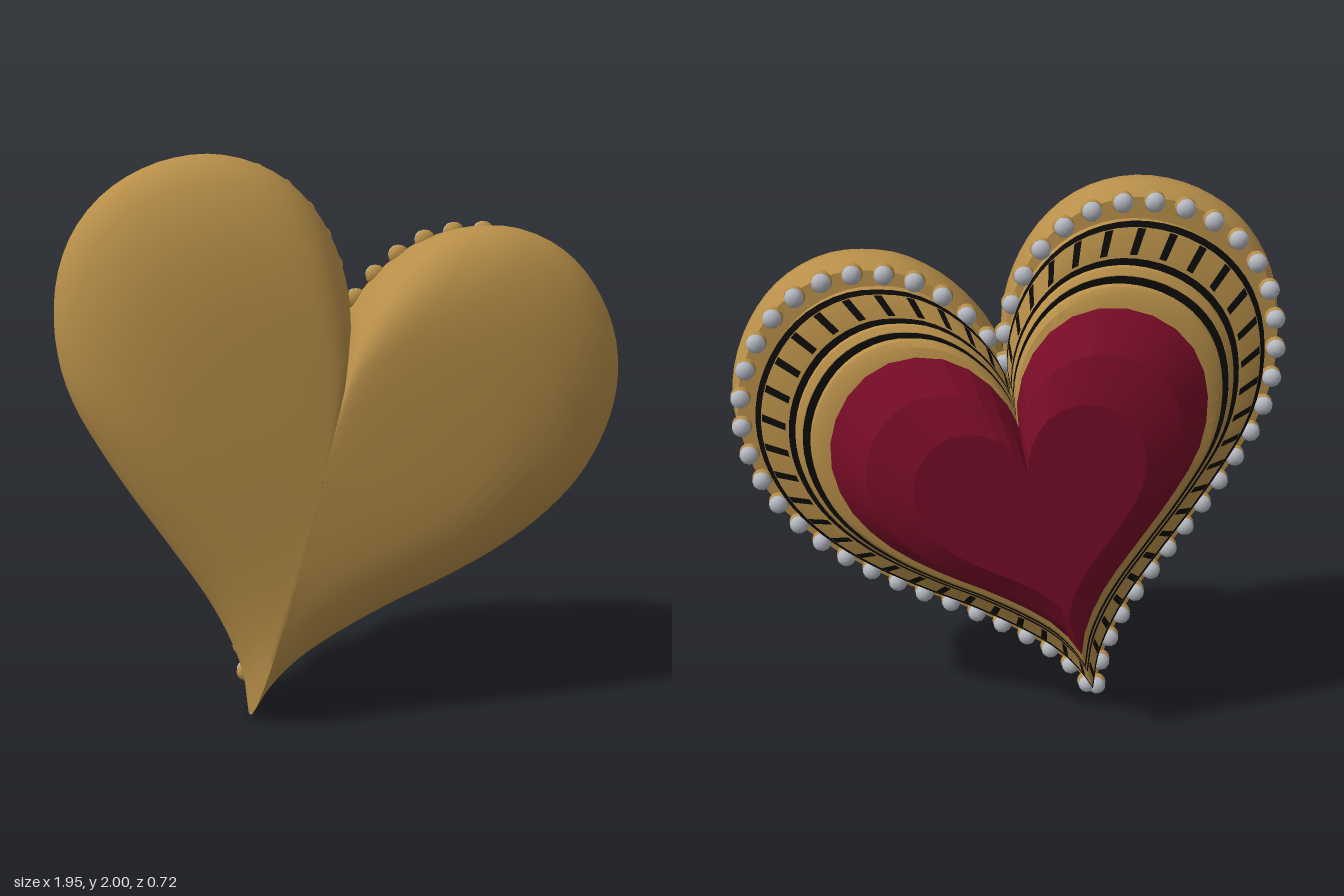
import * as THREE from 'three';
import { mergeGeometries, toCreasedNormals } from 'three/addons/utils/BufferGeometryUtils.js';

const mat = (name, color) => Object.assign(new THREE.MeshStandardMaterial({ color }), { name });

// Every ring of the brooch is the heart outline scaled about this centre
const CX = -0.11, CY = 0.93;

const curve = (pts) => new THREE.CatmullRomCurve3(pts.map(([x, y]) => new THREE.Vector3(x, y, 0)));

// Heart outline, counterclockwise: notch -> tall lobe -> tip, then tip -> short lobe -> notch
const tallSide = curve([[0, 1.36], [0.01, 1.5], [-0.02, 1.65], [-0.08, 1.78], [-0.15, 1.87], [-0.23, 1.935],
  [-0.33, 1.98], [-0.45, 2], [-0.58, 1.985], [-0.7, 1.94], [-0.81, 1.865], [-0.9, 1.755], [-0.955, 1.62],
  [-0.975, 1.46], [-0.96, 1.3], [-0.92, 1.17], [-0.85, 1.03], [-0.75, 0.86], [-0.62, 0.66], [-0.5, 0.47],
  [-0.43, 0.33], [-0.375, 0.17], [-0.355, 0]]);
const shortSide = curve([[-0.355, 0], [-0.29, 0.1], [-0.2, 0.195], [-0.08, 0.28], [0.15, 0.405], [0.35, 0.495],
  [0.55, 0.6], [0.72, 0.72], [0.86, 0.87], [0.945, 1.04], [0.975, 1.2], [0.96, 1.35], [0.905, 1.49],
  [0.82, 1.61], [0.72, 1.69], [0.6, 1.74], [0.49, 1.75], [0.37, 1.735], [0.25, 1.68], [0.15, 1.6],
  [0.08, 1.52], [0.025, 1.43], [0, 1.36]]);

const outline = (n) => [...tallSide.getSpacedPoints(n).slice(0, -1), ...shortSide.getSpacedPoints(n).slice(0, -1)];

// Sweep outline points through a [scale, z] profile listed from front to back
function loft(points, profile, closed = true) {
  const pos = [], index = [], n = points.length;
  for (const [s, z] of profile)
    for (const p of points) pos.push(CX + (p.x - CX) * s, CY + (p.y - CY) * s, z);
  for (let i = 0; i < profile.length - 1; i++)
    for (let j = 0; j < (closed ? n : n - 1); j++) {
      const k = (j + 1) % n, a = i * n + j, b = i * n + k, c = a + n, d = b + n;
      index.push(a, c, b, b, c, d);
    }
  const g = new THREE.BufferGeometry();
  g.setAttribute('position', new THREE.Float32BufferAttribute(pos, 3));
  g.setIndex(index);
  g.computeVertexNormals();
  return g;
}

export function createModel() {
  const gold = mat('gold', 0xb88f49);
  const ruby = mat('ruby red', 0x780c27);
  const silver = mat('stone grey', 0xb6bac2);
  const black = mat('black enamel', 0x0c0b0a);
  const group = new THREE.Group();
  const add = (name, geometry, material) => {
    const mesh = new THREE.Mesh(geometry, material);
    mesh.name = name;
    group.add(mesh);
  };
  const ring = outline(60);

  // Puffed front shell
  add('heartBody', toCreasedNormals(loft(ring, [
    [0.002, 0.36], [0.35, 0.357], [0.55, 0.349], [0.72, 0.335], [0.83, 0.3], [0.92, 0.26], [0.975, 0.21],
    [1, 0.16], [0.998, 0.11], [0.985, 0.06], [0.965, 0.02]]), 0.9), gold);

  // Stepped back setting
  add('backSetting', toCreasedNormals(loft(ring, [
    [0.965, 0.02], [0.965, -0.02], [0.9, -0.025], [0.9, -0.075], [0.885, -0.08], [0.79, -0.115],
    [0.775, -0.115], [0.77, -0.135], [0.75, -0.15], [0.735, -0.15], [0.725, -0.15], [0.72, -0.175],
    [0.7, -0.19], [0.65, -0.2]]), 0.5), gold);

  // Black enamel lines between the steps
  [[[0.903, -0.074], [0.885, -0.083]], [[0.795, -0.116], [0.772, -0.119]], [[0.748, -0.153], [0.722, -0.153]]]
    .forEach((profile, i) => add('enamelLine' + (i + 1), loft(ring, profile), black));

  // Black enamel dashes on the sloping band
  const path = new THREE.CurvePath();
  path.add(tallSide);
  path.add(shortSide);
  const dashes = [], DASHES = 54;
  for (let i = 0; i < DASHES; i++) {
    const t = (i + 0.5) / DASHES;
    const pair = [path.getPoint(t - 0.0023), path.getPoint(t + 0.0023)];
    dashes.push(loft(pair, [[0.882, -0.085], [0.805, -0.1135]], false));
  }
  add('enamelDashes', mergeGeometries(dashes), black);

  // Border of small faceted stones in gold cups
  const stones = [], cups = [], STONES = 60;
  for (let i = 0; i < STONES; i++) {
    const p = path.getPoint((i + 0.5) / STONES);
    const x = CX + (p.x - CX) * 0.955, y = CY + (p.y - CY) * 0.955;
    stones.push(new THREE.IcosahedronGeometry(0.034, 1).scale(1, 1, 0.8).rotateZ(i).translate(x, y, -0.046));
    cups.push(new THREE.SphereGeometry(0.037, 12, 8).scale(1, 1, 0.65).translate(x, y, -0.02));
  }
  add('borderStones', mergeGeometries(stones), silver);
  add('stoneCups', mergeGeometries(cups), gold);

  // Large faceted heart gem with a flat table
  const gem = loft(outline(24), [[0.665, -0.18], [0.66, -0.2], [0.545, -0.31], [0.4, -0.363], [0.002, -0.363]]);
  add('heartGem', toCreasedNormals(gem, 0.2), ruby);

  return group;
}
